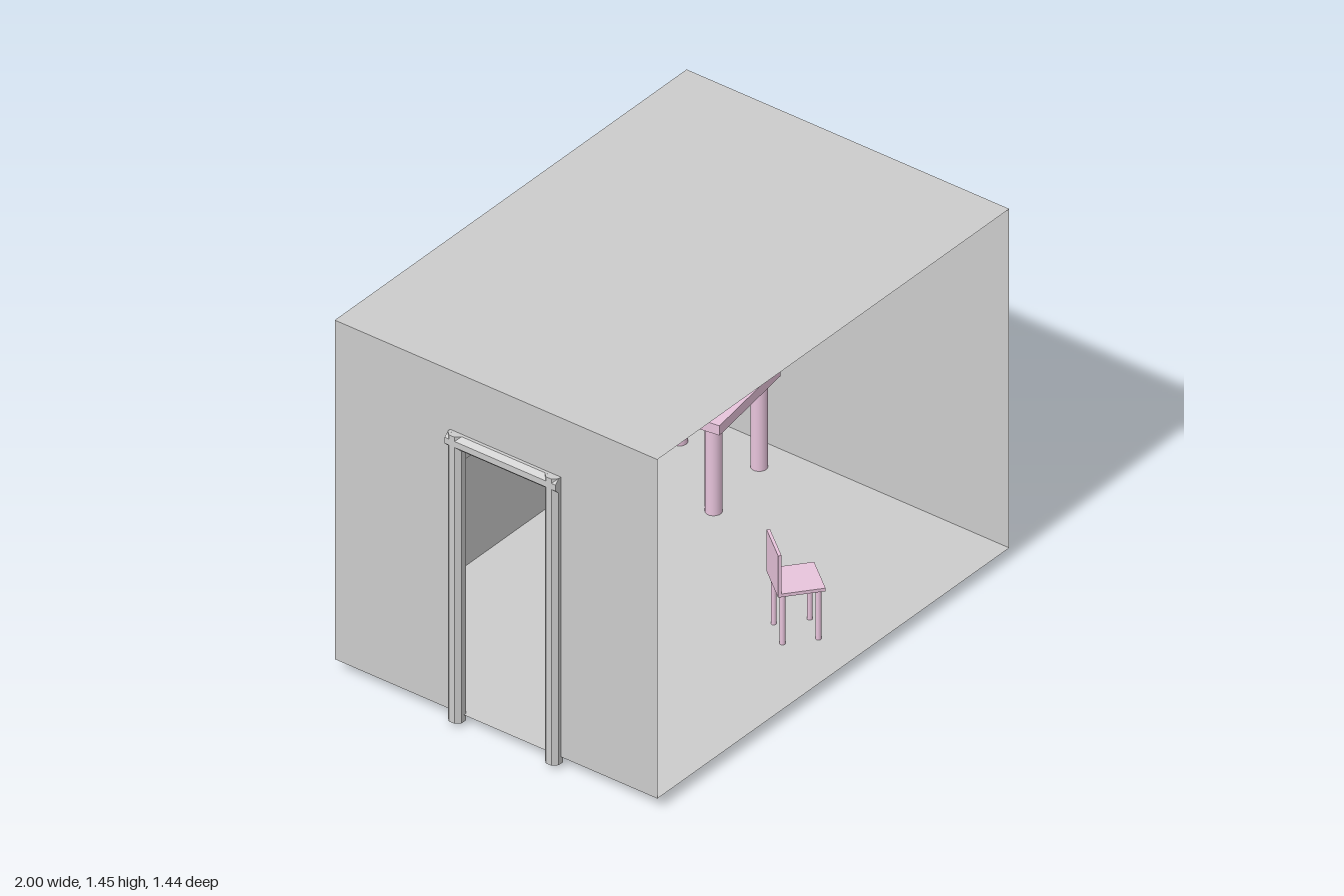
import * as THREE from 'three';

const grey = new THREE.MeshStandardMaterial({ color: 0xcccccc });
const greyFlat = new THREE.MeshStandardMaterial({ color: 0xcccccc, flatShading: true });
const wallMat = new THREE.MeshStandardMaterial({ color: 0xcccccc, side: THREE.DoubleSide });
const pink = new THREE.MeshStandardMaterial({ color: 0xe8c4dc });

// Room limits
const X0 = -0.97, X1 = 1, Y0 = 0.043, Y1 = 1.445, Z0 = -0.69, Z1 = 0.717;

function mesh(name, geometry, material, x = 0, y = 0, z = 0) {
  const m = new THREE.Mesh(geometry, material);
  m.name = name;
  m.position.set(x, y, z);
  return m;
}

function rectPath(path, a0, b0, a1, b1) {
  path.moveTo(a0, b0);
  path.lineTo(a1, b0);
  path.lineTo(a1, b1);
  path.lineTo(a0, b1);
  path.closePath();
  return path;
}

// Thin rectangular panel with optional rectangular holes
function panel(name, a0, b0, a1, b1, holes = []) {
  const shape = rectPath(new THREE.Shape(), a0, b0, a1, b1);
  for (const h of holes) shape.holes.push(rectPath(new THREE.Path(), ...h));
  return mesh(name, new THREE.ShapeGeometry(shape), wallMat);
}

// Octagonal bar with its flats square to the axes
function bar(name, length, axis) {
  const g = new THREE.CylinderGeometry(0.0325, 0.0325, length, 8);
  g.rotateY(Math.PI / 8);
  if (axis === 'x') g.rotateZ(Math.PI / 2);
  if (axis === 'z') g.rotateX(Math.PI / 2);
  return mesh(name, g, greyFlat);
}

function buildRoom(windows, door) {
  const room = new THREE.Group();
  room.name = 'room';
  const back = panel('backWall', X0, Y0, X1, Y1,
    windows.map(w => [w - 0.283, 0.53, w + 0.283, 1.308]));
  back.position.z = Z0;

  // Door wall, its outline notched down to the floor
  const s = new THREE.Shape();
  const pts = [[Z0, Y0], [door.z0, Y0], [door.z0, door.top], [door.z1, door.top],
    [door.z1, Y0], [Z1, Y0], [Z1, Y1], [Z0, Y1]];
  s.setFromPoints(pts.map(([z, y]) => new THREE.Vector2(-z, y)));
  const doorWall = mesh('doorWall', new THREE.ShapeGeometry(s), wallMat, X0);
  doorWall.rotation.y = Math.PI / 2;

  const side = panel('sideWall', -Z1, Y0, -Z0, Y1);
  side.rotation.y = Math.PI / 2;
  side.position.x = X1;
  room.add(back, doorWall, side);

  for (const [name, y] of [['floor', Y0], ['ceiling', Y1]]) {
    const p = panel(name, X0, -Z1, X1, -Z0);
    p.rotation.x = -Math.PI / 2;
    p.position.y = y;
    room.add(p);
  }
  return room;
}

function buildWindowFrame(x) {
  const frame = new THREE.Group();
  frame.name = 'windowFrame';
  for (const s of [-1, 1]) {
    const upright = bar('windowUpright', 0.838, 'y');
    upright.position.x = s * 0.283;
    const rail = bar('windowRail', 0.626, 'x');
    rail.position.y = s * 0.389;
    frame.add(upright, rail);
  }
  frame.position.set(x, 0.919, Z0);
  return frame;
}

function buildDoorFrame(door) {
  const frame = new THREE.Group();
  frame.name = 'doorFrame';
  for (const z of [door.z0, door.z1]) {
    const post = bar('doorPost', 1.185, 'y');
    post.position.set(X0, 0.6075, z);
    frame.add(post);
  }
  const lintel = bar('doorLintel', door.z1 - door.z0 + 0.06, 'z');
  lintel.position.set(X0, door.top, (door.z0 + door.z1) / 2);
  frame.add(lintel);
  return frame;
}

// Four round legs at the corners of a square
function addLegs(group, name, radius, height, spacing) {
  const g = new THREE.CylinderGeometry(radius, radius, height, 16);
  for (const sx of [-1, 1]) for (const sz of [-1, 1]) {
    group.add(mesh(name, g, pink, sx * spacing / 2, height / 2, sz * spacing / 2));
  }
}

function buildTable() {
  const table = new THREE.Group();
  table.name = 'table';
  table.add(mesh('tableTop', new THREE.BoxGeometry(0.425, 0.04, 0.425), pink, 0, 0.424, 0));
  addLegs(table, 'tableLeg', 0.031, 0.405, 0.317);
  table.position.set(0.69, 0, -0.406);
  table.rotation.y = 0.144;
  return table;
}

function buildChair() {
  const chair = new THREE.Group();
  chair.name = 'chair';
  chair.add(mesh('chairSeat', new THREE.BoxGeometry(0.168, 0.013, 0.168), pink, 0, 0.255, 0));
  chair.add(mesh('chairBack', new THREE.BoxGeometry(0.168, 0.172, 0.012), pink, 0, 0.335, -0.078));
  addLegs(chair, 'chairLeg', 0.01, 0.25, 0.1275);
  chair.position.set(0.143, 0, 0.455);
  chair.rotation.y = 0.9;
  return chair;
}

// Oil lamp: foot, reservoir, burner and glass chimney as one turned profile
function buildLamp() {
  const profile = [[0, 0], [0.03, 0], [0.036, 0.008], [0.051, 0.02], [0.047, 0.029],
    [0.024, 0.046], [0.017, 0.056], [0.026, 0.066], [0.022, 0.078], [0.028, 0.1],
    [0.028, 0.118], [0.024, 0.15], [0.016, 0.2], [0.014, 0.235], [0.015, 0.276], [0, 0.276]];
  const g = new THREE.LatheGeometry(profile.map(p => new THREE.Vector2(...p)), 24);
  return mesh('lamp', g, grey, 0.585, 0.444, -0.48);
}

export function createModel() {
  const model = new THREE.Group();
  model.name = 'furnishedRoom';
  const windows = [-0.476, 0.507];
  const door = { z0: -0.157, z1: 0.266, top: 1.17 };
  model.add(buildRoom(windows, door));
  for (const x of windows) model.add(buildWindowFrame(x));
  model.add(buildDoorFrame(door), buildTable(), buildChair(), buildLamp());
  return model;
}
